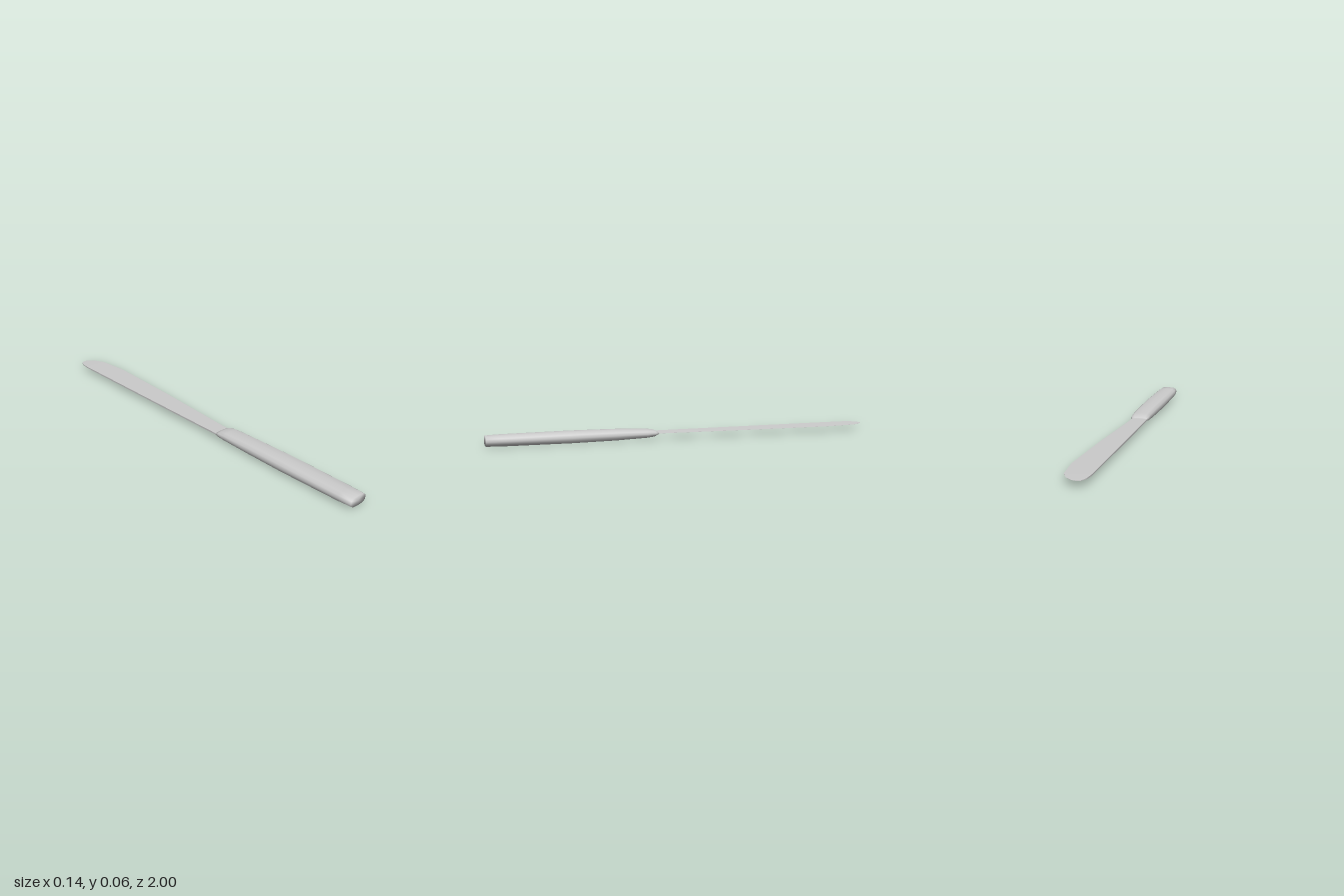
import * as THREE from 'three';

const MID_Y = 0.029;

// Skins a list of closed rings (counter-clockwise from the front, ordered front to back) and caps both ends.
function loft(rings) {
  const n = rings[0].length, pos = rings.flat(2), index = [];
  for (let i = 0; i < rings.length - 1; i++) {
    for (let j = 0; j < n; j++) {
      const a = i * n + j, b = i * n + (j + 1) % n;
      index.push(a, a + n, b, b, a + n, b + n);
    }
  }
  const addCap = (ring, start, front) => {
    const centre = pos.length / 3;
    for (let k = 0; k < 3; k++) pos.push(ring.reduce((s, p) => s + p[k], 0) / n);
    for (let j = 0; j < n; j++) {
      const a = start + j, b = start + (j + 1) % n;
      index.push(centre, front ? a : b, front ? b : a);
    }
  };
  addCap(rings[0], 0, true);
  addCap(rings[rings.length - 1], (rings.length - 1) * n, false);
  const geometry = new THREE.BufferGeometry();
  geometry.setAttribute('position', new THREE.Float32BufferAttribute(pos, 3));
  geometry.setIndex(index);
  geometry.computeVertexNormals();
  return geometry;
}

// Rounded handle section: twelve points, flattened top and bottom
const SECTION = [
  [1, 0], [0.94, 0.52], [0.66, 0.9], [0, 1], [-0.66, 0.9], [-0.94, 0.52],
  [-1, 0], [-0.94, -0.52], [-0.66, -0.9], [0, -1], [0.66, -0.9], [0.94, -0.52],
];

function handleGeometry() {
  // z, left x, right x, half height
  const stations = [
    [1, -0.063, 0.035, 0.0245],
    [0.93, -0.067, 0.037, 0.027],
    [0.6, -0.07, 0.04, 0.029],
    [0.38, -0.067, 0.037, 0.027],
    [0.22, -0.065, 0.035, 0.021],
    [0.18, -0.064, 0.031, 0.016],
    [0.16, -0.062, 0.021, 0.006],
  ];
  return loft(stations.map(([z, x0, x1, h]) =>
    SECTION.map(([u, v]) => [(x0 + x1) / 2 + u * (x1 - x0) / 2, MID_Y + v * h, z])));
}

function bladeGeometry() {
  // z, spine x, cutting edge x, half thickness of the spine
  const stations = [
    [0.2, -0.061, 0.02, 0.004],
    [0.08, -0.062, 0.026, 0.004],
    [-0.344, -0.063, 0.053, 0.004],
    [-0.757, -0.063, 0.069, 0.004],
    [-0.915, -0.063, 0.053, 0.0035],
    [-0.965, -0.057, 0.028, 0.0025],
    [-0.993, -0.043, 0.0, 0.001],
    [-1, -0.03, -0.015, 0.0004],
  ];
  // Wedge section: thick spine, fine cutting edge
  return loft(stations.map(([z, spine, edge, t]) => [
    [edge, MID_Y - 0.0003, z], [edge, MID_Y + 0.0003, z],
    [spine, MID_Y + t, z], [spine, MID_Y - t, z],
  ]));
}

export function createModel() {
  const group = new THREE.Group();
  group.name = 'tableKnife';

  const handle = new THREE.Mesh(handleGeometry(), new THREE.MeshStandardMaterial({ color: 0xcccccc }));
  handle.name = 'handle';

  const blade = new THREE.Mesh(bladeGeometry(),
    new THREE.MeshStandardMaterial({ color: 0xcccccc, flatShading: true }));
  blade.name = 'blade';

  group.add(handle, blade);
  return group;
}
